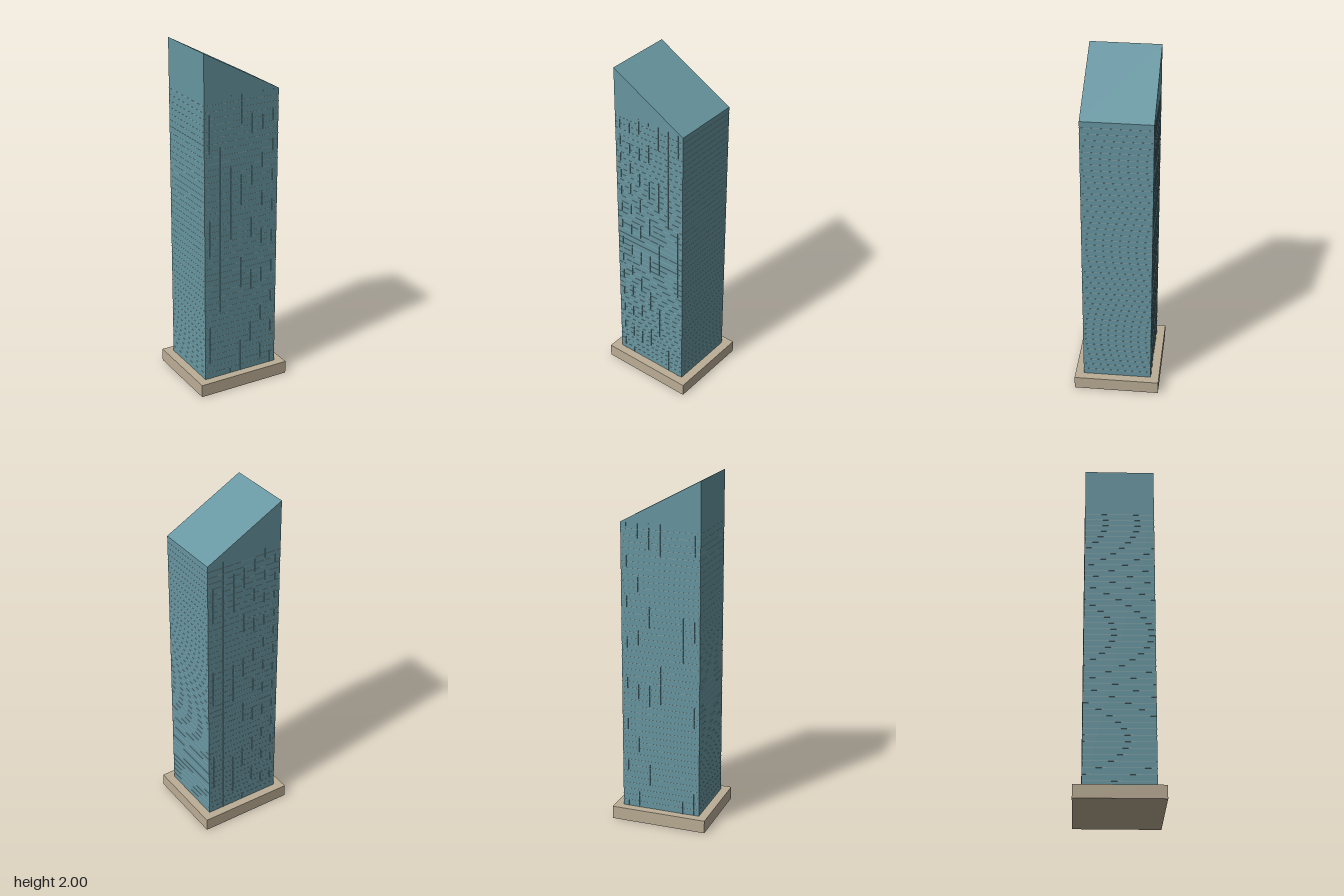
import * as THREE from 'three';

const W = 0.462, D = 0.396;      // tower footprint
const LOW = 1.75, HIGH = 2;      // low and high roof edges
const FLOORS = 48;

const glass = new THREE.MeshStandardMaterial({ color: 0x6796a1 });
const trim = new THREE.MeshStandardMaterial({ color: 0x8aa9ab });
const stone = new THREE.MeshStandardMaterial({ color: 0xbcae96 });

function addBox(parent, name, material, w, h, d, x, y, z) {
  const mesh = new THREE.Mesh(new THREE.BoxGeometry(w, h, d), material);
  mesh.name = name;
  mesh.position.set(x, y, z);
  parent.add(mesh);
}

function addGroup(parent, name) {
  const group = new THREE.Group();
  group.name = name;
  parent.add(group);
  return group;
}

export function createModel() {
  const model = new THREE.Group();
  model.name = 'tower';

  // Stone plinth
  addBox(model, 'plinth', stone, 0.562, 0.075, 0.494, 0, 0.0375, 0);

  // Glass shaft, rooted inside the plinth
  addBox(model, 'shaft', glass, W, LOW - 0.02, D, 0, (LOW + 0.02) / 2, 0);

  // Wedge roof, high on the right (-x) and sloping down to the left
  const profile = new THREE.Shape([
    new THREE.Vector2(-W / 2, LOW),
    new THREE.Vector2(W / 2, LOW),
    new THREE.Vector2(-W / 2, HIGH),
  ]);
  const roofGeometry = new THREE.ExtrudeGeometry(profile, { depth: D, bevelEnabled: false });
  roofGeometry.translate(0, 0, -D / 2);
  const roof = new THREE.Mesh(roofGeometry, glass);
  roof.name = 'slopedRoof';
  model.add(roof);

  // Thin floor bands wrapping the shaft
  const bands = addGroup(model, 'floorBands');
  for (let i = 3; i < FLOORS; i++) {
    addBox(bands, 'floorBand', trim, W + 0.002, 0.003, D + 0.002, 0, (i * LOW) / FLOORS, 0);
  }

  // Slim vertical fins on the front and back
  const fins = addGroup(model, 'fins');
  for (const side of [1, -1]) {
    for (let i = -3; i <= 3; i++) {
      addBox(fins, 'fin', glass, 0.003, LOW - 0.07, 0.004, i * 0.0663, (LOW + 0.07) / 2, side * D / 2);
    }
  }

  return model;
}
